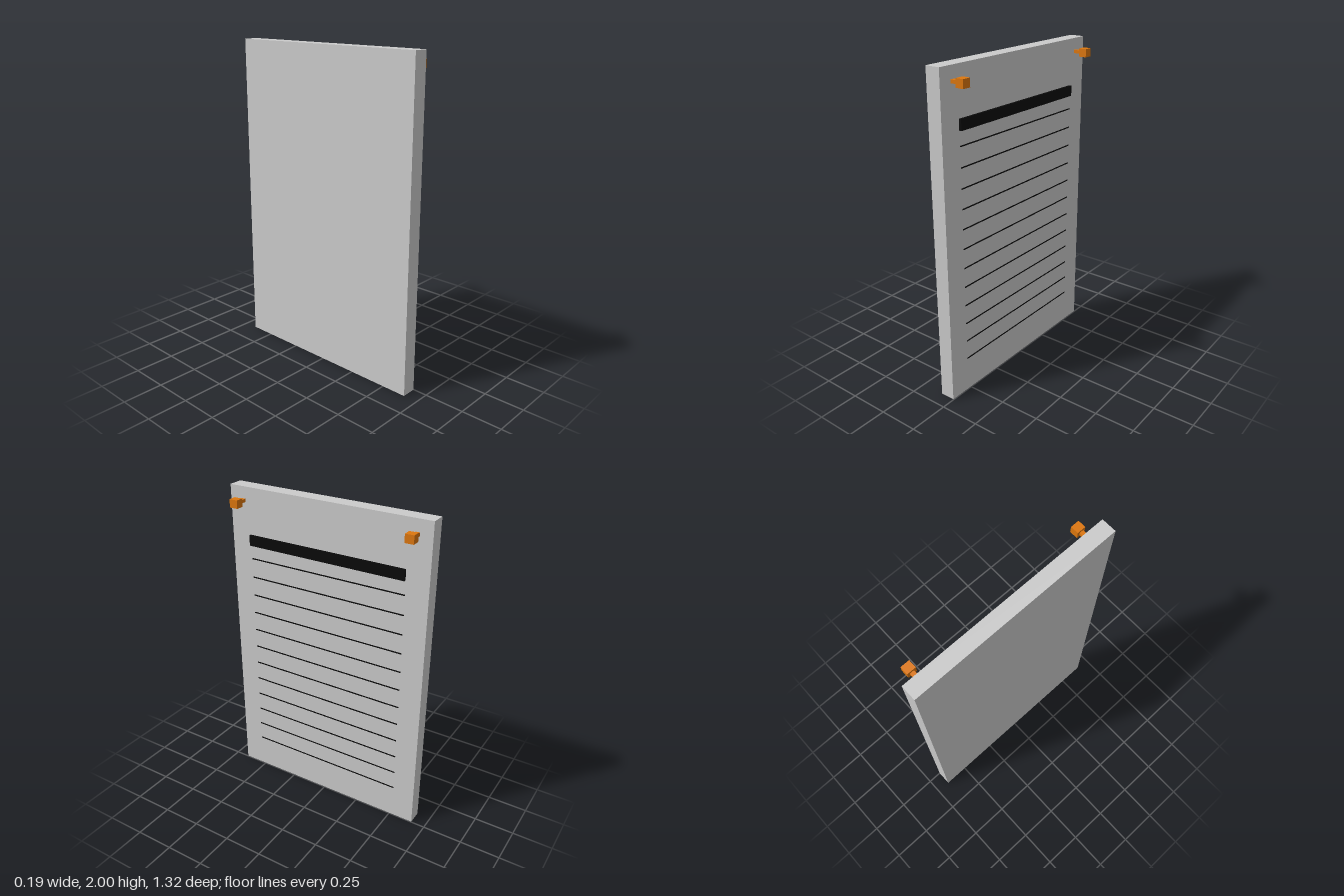
import * as THREE from 'three';

export function createModel() {
  const model = new THREE.Group();
  model.name = 'noticeBoard';

  const grey = new THREE.MeshStandardMaterial({ color: 0xcccccc });
  const black = new THREE.MeshStandardMaterial({ color: 0x0a0a0a });
  const orange = new THREE.MeshStandardMaterial({ color: 0xdd770e });

  const box = (parent, name, material, size, position) => {
    const mesh = new THREE.Mesh(new THREE.BoxGeometry(...size), material);
    mesh.name = name;
    mesh.position.set(...position);
    parent.add(mesh);
  };

  // Upright slab, its written face towards +x
  const faceX = -0.003;
  box(model, 'board', grey, [0.093, 2, 1.32], [faceX - 0.0465, 1, 0]);

  // Thick heading bar
  box(model, 'headingBar', black, [0.018, 0.065, 1.043], [0.004, 1.678, 0.005]);

  // Evenly spaced thin ruled lines
  for (let i = 0; i < 12; i++) {
    box(model, 'ruledLine', black, [0.006, 0.007, 1.043], [faceX, 1.558 - i * 0.1216, 0.002]);
  }

  // Two pins: thin shaft with a cube head
  for (const z of [-0.57, 0.567]) {
    const pin = new THREE.Group();
    pin.name = 'pin';
    pin.position.set(0, 1.917, z);
    box(pin, 'pinShaft', orange, [0.058, 0.02, 0.026], [0.018, 0, 0]);
    box(pin, 'pinHead', orange, [0.05, 0.05, 0.054], [0.07, 0, 0]);
    model.add(pin);
  }

  return model;
}
